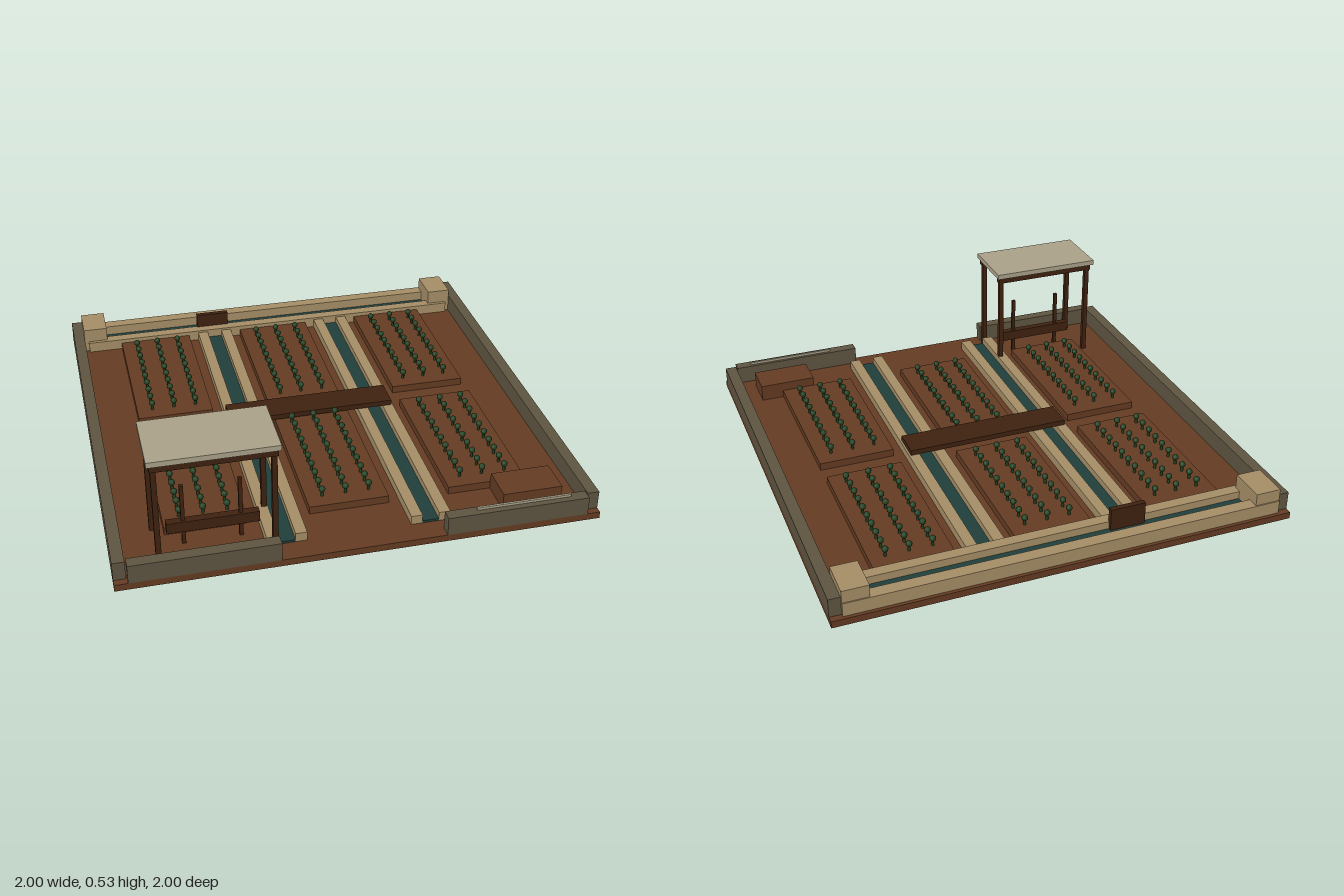
import * as THREE from 'three';

const mat = (name, color) => {
  const m = new THREE.MeshStandardMaterial({ color });
  m.name = name;
  return m;
};

export function createModel() {
  const model = new THREE.Group();
  model.name = 'irrigatedGarden';
  const soil = mat('soil', 0x633b22);
  const stone = mat('stone', 0x5d5340);
  const clay = mat('clay', 0xa48d66);
  const water = mat('water', 0x213e3b);
  const wood = mat('darkWood', 0x3e2210);
  const canvas = mat('paleCanopy', 0xa9a089);
  const leaf = mat('leaf', 0x204020);

  // Box given by its minimum and maximum on each axis
  const box = (name, m, x0, x1, y0, y1, z0, z1, parent = model) => {
    const mesh = new THREE.Mesh(new THREE.BoxGeometry(x1 - x0, y1 - y0, z1 - z0), m);
    mesh.position.set((x0 + x1) / 2, (y0 + y1) / 2, (z0 + z1) / 2);
    mesh.name = name;
    parent.add(mesh);
    return mesh;
  };
  // The same box on the right and mirrored to the left
  const pair = (name, m, x0, x1, ...rest) => {
    box(name + 'Left', m, x0, x1, ...rest);
    box(name + 'Right', m, -x1, -x0, ...rest);
  };

  // Ground and enclosing walls, open at the front and along the canal
  box('ground', soil, -1, 1, 0, 0.03, -1, 1);
  pair('sideWall', stone, 0.95, 1, 0.03, 0.112, -0.97, 0.97);
  pair('frontWall', stone, 0.34, 0.945, 0.03, 0.112, 0.95, 1);
  box('wallRail', canvas, 0.47, 0.875, 0.112, 0.123, 0.964, 0.974);

  // Main canal along the back with corner blocks and a sluice gate
  box('outerBank', clay, -0.95, 0.95, 0.03, 0.09, -0.985, -0.93);
  box('innerBank', clay, -0.93, 0.93, 0.03, 0.08, -0.85, -0.8);
  box('mainWater', water, -0.93, 0.93, 0.03, 0.045, -0.93, -0.85);
  pair('cornerBlock', clay, 0.838, 0.95, 0.03, 0.145, -0.98, -0.817);
  box('sluiceGate', wood, -0.38, -0.223, 0.03, 0.145, -0.865, -0.842);

  // Two side channels and the plank bridge across them
  pair('channelInnerBank', clay, 0.217, 0.265, 0.03, 0.07, -0.8, 0.9);
  pair('channelOuterBank', clay, 0.335, 0.383, 0.03, 0.07, -0.8, 0.9);
  pair('channelWater', water, 0.265, 0.335, 0.03, 0.04, -0.85, 0.9);
  box('plankBridge', wood, -0.375, 0.375, 0.072, 0.096, -0.063, 0.075);

  // Six raised beds, each with three rows of ten seedlings
  const headGeo = new THREE.SphereGeometry(0.0145, 8, 6);
  const stemGeo = new THREE.CylinderGeometry(0.006, 0.007, 0.035, 5);
  for (const cx of [-0.6, 0, 0.6]) {
    for (const cz of [-0.44, 0.382]) {
      const bed = new THREE.Group();
      bed.name = 'plantedBed';
      bed.position.set(cx, 0, cz);
      box('bedSoil', soil, -0.17, 0.17, 0.03, 0.064, -0.355, 0.355, bed);
      for (let row = -1; row <= 1; row++) {
        for (let i = 0; i < 10; i++) {
          const z = 0.003 + (i - 4.5) * 0.0633;
          const stem = new THREE.Mesh(stemGeo, leaf);
          stem.name = 'seedlingStem';
          stem.position.set(row * 0.1, 0.078, z);
          const head = new THREE.Mesh(headGeo, leaf);
          head.name = 'seedlingHead';
          head.position.set(row * 0.1, 0.097, z);
          bed.add(stem, head);
        }
      }
      model.add(bed);
    }
  }

  // Compost box in the front corner
  box('compostBox', soil, 0.615, 0.872, 0.03, 0.105, 0.737, 0.89);

  // Shelter: four posts, two beams and a flat canopy
  const shelter = new THREE.Group();
  shelter.name = 'shelter';
  model.add(shelter);
  for (const z of [0.685, 0.917]) {
    for (const x of [-0.814, -0.35]) {
      box('shelterPost', wood, x - 0.011, x + 0.011, 0.03, 0.48, z - 0.011, z + 0.011, shelter);
    }
    box('shelterBeam', wood, -0.829, -0.335, 0.48, 0.51, z - 0.016, z + 0.016, shelter);
  }
  box('canopy', canvas, -0.84, -0.325, 0.51, 0.534, 0.655, 0.943, shelter);

  // Work frame under the shelter: crossbar with two uprights
  box('frameCrossbar', wood, -0.768, -0.392, 0.095, 0.143, 0.785, 0.818, shelter);
  for (const x of [-0.699, -0.466]) {
    box('frameUpright', wood, x - 0.008, x + 0.008, 0.03, 0.31, 0.793, 0.808, shelter);
  }
  return model;
}
